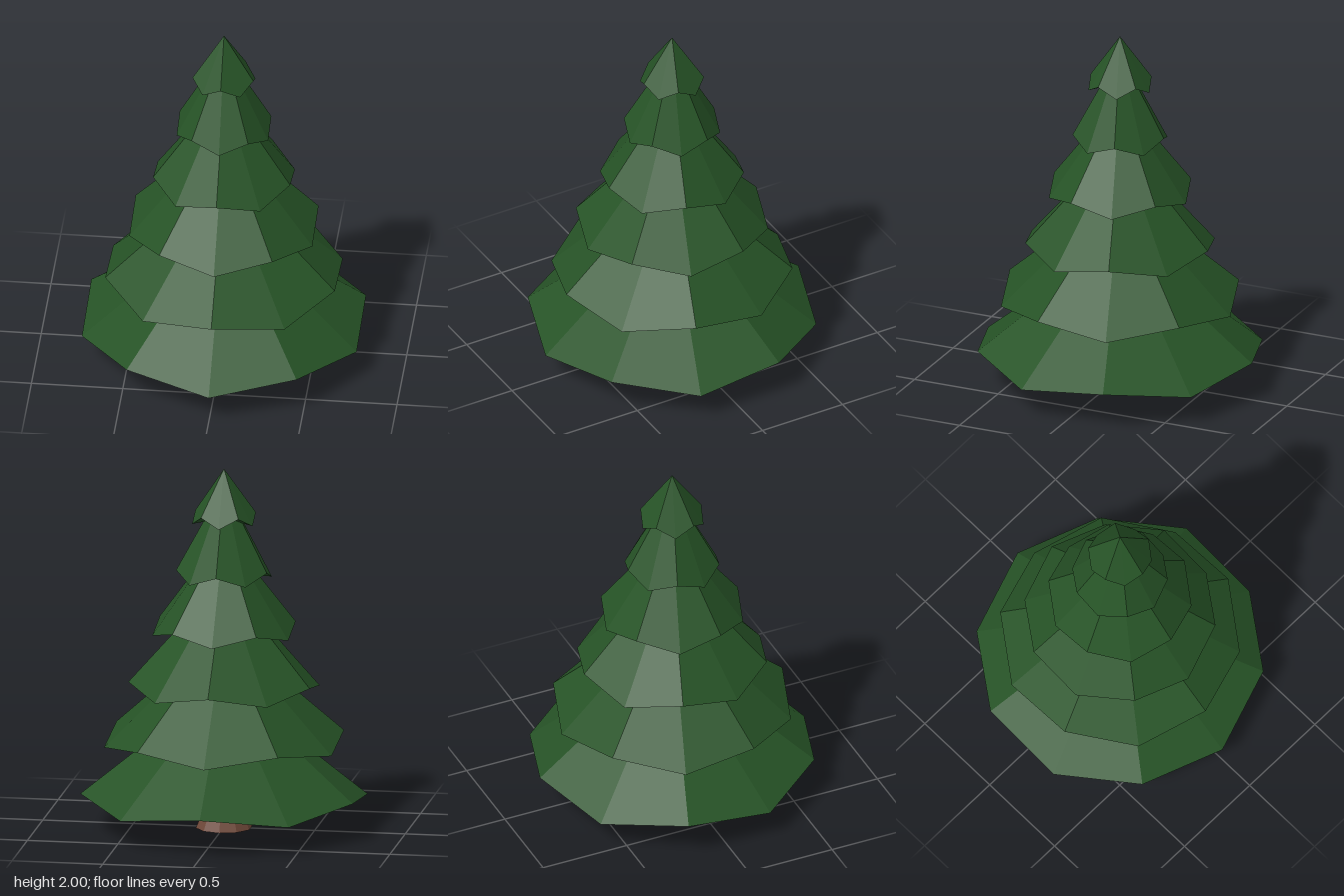
import * as THREE from 'three';

const SIDES = 10;

// Closed cone whose rim corners alternate up and down
function zigzagCone(radius, baseY, apexY, drop, frontSign) {
  const h = apexY - baseY;
  const geo = new THREE.ConeGeometry(radius, h, SIDES, 1);
  geo.translate(0, baseY + h / 2, 0);
  const p = geo.attributes.position;
  for (let i = 0; i < p.count; i++) {
    const x = p.getX(i), z = p.getZ(i);
    if (Math.hypot(x, z) < radius * 0.5) continue;
    const k = Math.round(Math.atan2(x, z) / (2 * Math.PI / SIDES));
    p.setY(i, baseY + drop * frontSign * (k % 2 === 0 ? 1 : -1));
  }
  geo.computeVertexNormals();
  return geo;
}

export function createModel() {
  const tree = new THREE.Group();
  tree.name = 'pineTree';
  const needles = new THREE.MeshStandardMaterial({ name: 'pineGreen', color: 0x265326, flatShading: true });
  const bark = new THREE.MeshStandardMaterial({ name: 'barkBrown', color: 0x6f4839, flatShading: true });

  // Flared trunk, closed underneath
  const profile = [[0, 0], [0.155, 0], [0.112, 0.1], [0.097, 0.22]].map(([r, y]) => new THREE.Vector2(r, y));
  const trunk = new THREE.Mesh(new THREE.LatheGeometry(profile, SIDES), bark);
  trunk.name = 'trunk';
  tree.add(trunk);

  // Branch tiers from bottom to top: radius, mean rim height, apex height
  const tiers = [
    [0.79, 0.186, 0.81],
    [0.66, 0.493, 1.1],
    [0.526, 0.801, 1.39],
    [0.394, 1.109, 1.65],
    [0.263, 1.417, 1.91],
    [0.175, 1.725, 2.0],
  ];
  tiers.forEach(([r, base, apex], i) => {
    // Each tier is turned one corner against the one below
    const tier = new THREE.Mesh(zigzagCone(r, base, apex, 0.027, i % 2 ? 1 : -1), needles);
    tier.name = `branchTier${i + 1}`;
    tree.add(tier);
  });
  return tree;
}
